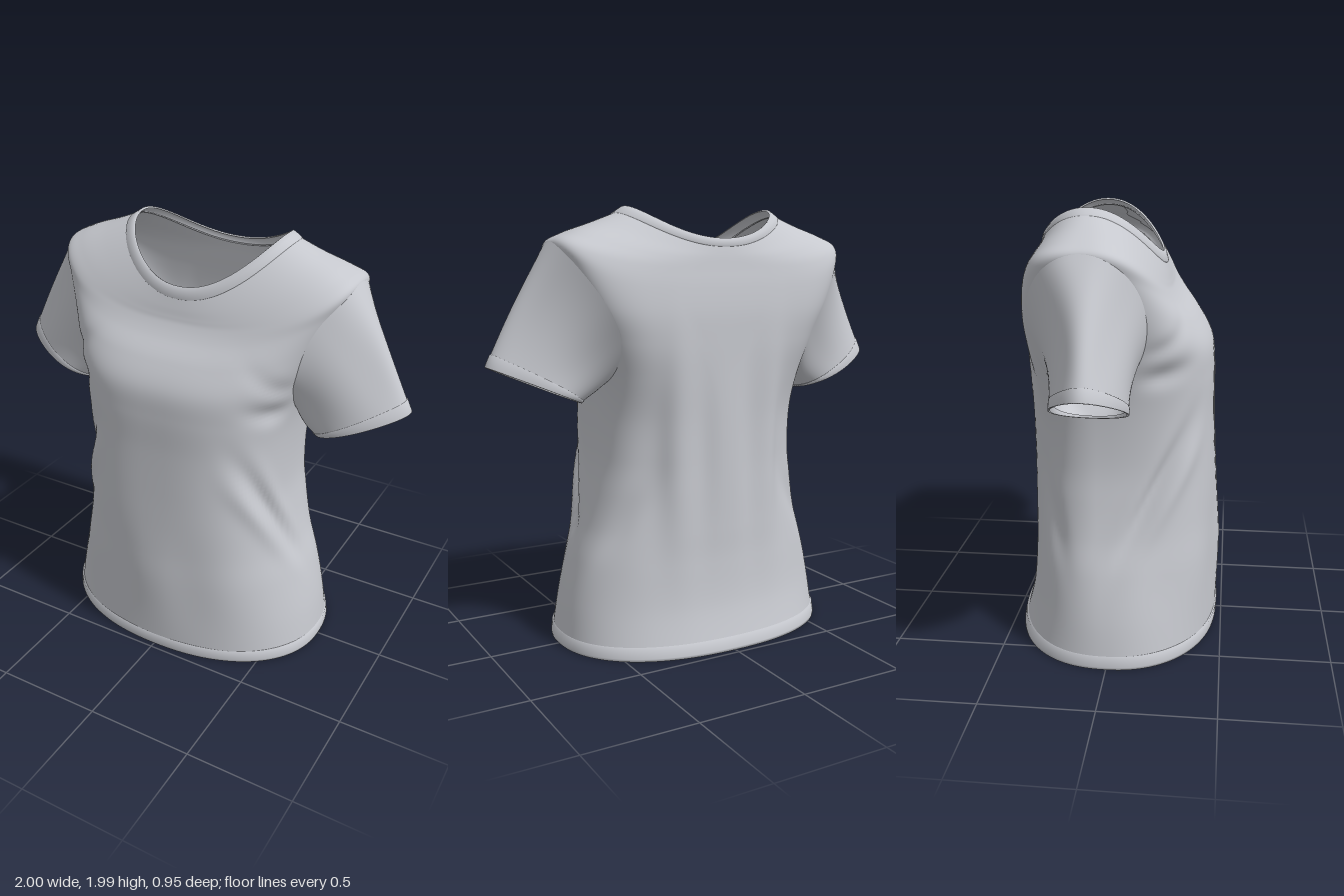
import * as THREE from 'three';

const fabric = new THREE.MeshStandardMaterial({ color: 0xc6c8ce, side: THREE.DoubleSide });
fabric.name = 'light grey fabric';

const SEG = 128;
const { lerp, smoothstep } = THREE.MathUtils;
const bump = (v, mid, width) => Math.exp(-(((v - mid) / width) ** 2));

// Smooth surface from closed rings: point(row, col) gives [x, y, z]
function loft(rows, cols, point, flip = false) {
  const pos = [], index = [];
  for (let i = 0; i < rows; i++)
    for (let j = 0; j < cols; j++) pos.push(...point(i, j));
  for (let i = 0; i < rows - 1; i++)
    for (let j = 0; j < cols; j++) {
      const k = (j + 1) % cols;
      const a = i * cols + j, b = a + cols, c = i * cols + k, d = c + cols;
      if (flip) index.push(a, c, b, c, d, b);
      else index.push(a, b, c, c, b, d);
    }
  const g = new THREE.BufferGeometry();
  g.setAttribute('position', new THREE.Float32BufferAttribute(pos, 3));
  g.setIndex(index);
  g.computeVertexNormals();
  return g;
}

// Ring: front/side/back height, half width, front z, back z, z of widest point, front/back squareness
function ringPoint([yF, yS, yB, w, f, b, zc, nF, nB], angle) {
  const c = Math.cos(angle), s = Math.sin(angle);
  const n = s > 0 ? nF : nB, end = s > 0 ? yF : yB;
  const x = w * Math.sign(c) * Math.abs(c) ** (2 / n);
  const z = zc + (s > 0 ? f - zc : b - zc) * Math.abs(s) ** (2 / n);
  return [x, end + (yS - end) * c * c, z];
}

// Catmull-Rom blend between the rings of a table
function ringAt(table, v) {
  const t = v * (table.length - 1), i = Math.min(Math.floor(t), table.length - 2), u = t - i;
  const at = (k) => table[Math.max(0, Math.min(table.length - 1, k))];
  return at(i).map((p1, k) => {
    const p0 = at(i - 1)[k], p2 = at(i + 1)[k], p3 = at(i + 2)[k];
    return p1 + 0.5 * u * (p2 - p0 + u * (2 * p0 - 5 * p1 + 4 * p2 - p3 + u * (3 * (p1 - p2) + p3 - p0)));
  });
}

// Soft folds of the cloth, as an outward distance
function fold(x, y, z) {
  const ax = Math.abs(x);
  // Back: upright pleats and a hollow beside the waist
  const pleats = 0.015 * Math.cos(ax * 27) * bump(y, 0.95, 0.45) * bump(ax, 0.22, 0.2);
  const hollow = -0.022 * bump(z, -0.21 - (y - 0.45) * 0.33, 0.05) * bump(y, 0.7, 0.22) * bump(ax, 0.5, 0.15);
  // Front: drapes running from the bust down to the side of the waist
  const q = z - 0.06 - (y - 0.5) * 0.5;
  const drape = (bump(q, 0.08, 0.045) - 1.4 * bump(q, 0, 0.04) + 0.6 * bump(q, -0.07, 0.04))
    * 0.018 * bump(y, 0.8, 0.26) * smoothstep(ax, 0.25, 0.42);
  const pinch = -0.024 * bump(ax, 0.5, 0.08) * bump(y, 1.29 + (0.5 - ax) * 0.4, 0.05);
  const crease = -0.012 * bump(ax, 0.52, 0.12) * bump(y, 1.43 + (0.5 - ax) * 0.8, 0.045);
  const hang = 0.007 * Math.cos(ax * 16) * bump(y, 0.4, 0.25);
  return (pleats + hollow) * smoothstep(-z, 0.06, 0.2) + drape * smoothstep(z, -0.1, 0.05)
    + (pinch + crease + hang) * smoothstep(z, 0.08, 0.25);
}

const bodyRings = [
  [0, 0, 0, 0.672, 0.47, -0.47, 0, 2.2, 2.3],
  [0.2, 0.2, 0.2, 0.645, 0.472, -0.42, -0.02, 2.2, 2.25],
  [0.4, 0.4, 0.4, 0.6, 0.473, -0.402, -0.04, 2.3, 2.2],
  [0.56, 0.56, 0.56, 0.55, 0.466, -0.4, -0.05, 2.5, 2.15],
  [0.72, 0.72, 0.72, 0.516, 0.458, -0.4, -0.06, 2.75, 2.1],
  [0.88, 0.88, 0.88, 0.495, 0.45, -0.4, -0.06, 2.9, 2.1],
  [1.08, 1.08, 1.08, 0.497, 0.442, -0.4, -0.06, 2.9, 2.25],
  [1.25, 1.25, 1.25, 0.517, 0.44, -0.4, -0.07, 2.9, 2.8],
  [1.38, 1.42, 1.4, 0.565, 0.425, -0.4, -0.08, 2.8, 3.7],
  [1.49, 1.58, 1.53, 0.628, 0.36, -0.397, -0.08, 2.65, 4.6],
  [1.57, 1.74, 1.64, 0.69, 0.285, -0.387, -0.08, 2.6, 4.4],
  [1.62, 1.83, 1.72, 0.715, 0.248, -0.375, -0.08, 2.6, 3.6],
  [1.65, 1.875, 1.765, 0.645, 0.235, -0.368, -0.09, 2.5, 2.8],
  [1.685, 1.92, 1.795, 0.52, 0.224, -0.362, -0.1, 2.3, 2.3],
  [1.725, 1.962, 1.82, 0.41, 0.21, -0.356, -0.11, 2.1, 2.1],
];

// Armhole outline on the side of the body
const hole = { y: 1.52, z: -0.09, ry: 0.315, rz: 0.255 };

function makeBody() {
  const rows = 120;
  return loft(rows, SEG, (i, j) => {
    const r = ringAt(bodyRings, i / (rows - 1));
    const [x, y, z] = ringPoint(r, (j / SEG) * Math.PI * 2);
    const d = fold(x, y, z), len = Math.hypot(x, z - r[6]);
    return [x + (x / len) * d, y, z + ((z - r[6]) / len) * d];
  });
}

// Points where the armhole outline meets the body
function armholeRing(body, count) {
  const mesh = new THREE.Mesh(body, fabric), ray = new THREE.Raycaster();
  const ring = [];
  for (let j = 0; j < count; j++) {
    const a = (j / count) * Math.PI * 2;
    const y = hole.y + hole.ry * Math.cos(a), z = hole.z + hole.rz * Math.sin(a);
    ray.set(new THREE.Vector3(2, y, z), new THREE.Vector3(-1, 0, 0));
    const hit = ray.intersectObject(mesh)[0];
    ring.push(new THREE.Vector3(hit && hit.point.x > 0.3 ? hit.point.x : 0.6, y, z));
  }
  return ring;
}

// Open the armholes: drop the faces inside the outline and pull the rim onto it
function cutArmholes(g, ring) {
  const p = g.attributes.position, old = g.index.array, keep = [];
  const inside = Array.from({ length: p.count }, (_, k) => Math.abs(p.getX(k)) > 0.4 &&
    ((p.getY(k) - hole.y) / hole.ry) ** 2 + ((p.getZ(k) - hole.z) / hole.rz) ** 2 < 1);
  for (let i = 0; i < old.length; i += 3) {
    const tri = [old[i], old[i + 1], old[i + 2]];
    if (!tri.every((k) => inside[k])) keep.push(...tri);
  }
  inside.forEach((isIn, k) => {
    if (!isIn) return;
    const a = Math.atan2((p.getZ(k) - hole.z) / hole.rz, (p.getY(k) - hole.y) / hole.ry);
    const q = ring[(Math.round((a / (Math.PI * 2)) * ring.length) + ring.length) % ring.length];
    p.setXYZ(k, Math.sign(p.getX(k)) * q.x, q.y, q.z);
  });
  g.setIndex(keep);
}

// Sleeve piece: steps are [distance along the sleeve, scale about its axis]
function sleevePiece(base, steps, side) {
  const n = base.length, start = new THREE.Vector3();
  base.forEach((p) => start.addScaledVector(p, 1 / n));
  const end = new THREE.Vector3(0.79, 1.22, -0.055);
  return loft(steps.length, n, (i, j) => {
    const [t, s] = steps[i], a = (j / n) * Math.PI * 2, c = Math.cos(a);
    // Opening narrows towards the top edge
    const cuff = new THREE.Vector3(end.x + 0.208 * c, end.y + 0.088 * c, end.z + 0.157 * Math.sin(a) * (1 - 0.28 * c));
    // Front and back draw in soon after the armhole
    const tz = 1 - (1 - t) ** 2.4;
    const axis = start.clone().lerp(end, t);
    axis.z = lerp(start.z, end.z, tz);
    const wave = 1 + 0.04 * Math.sin(Math.PI * t) * (Math.cos(5 * a) * 0.8 + 0.3);
    const p = base[j].clone().lerp(cuff, t);
    p.z = lerp(base[j].z, cuff.z, tz);
    p.sub(axis).multiplyScalar(s * wave).add(axis);
    return [side * p.x, p.y, p.z];
  }, side > 0);
}

export function createModel() {
  const shirt = new THREE.Group();
  shirt.name = 'shirt';
  const add = (name, geometry) => {
    const mesh = new THREE.Mesh(geometry, fabric);
    mesh.name = name;
    shirt.add(mesh);
  };

  // Body with open armholes
  const body = makeBody();
  const base = armholeRing(body, 80);
  cutArmholes(body, base);
  add('body', body);

  // Folded bands made from a few rings each
  const band = (name, rings) =>
    add(name, loft(rings.length, SEG, (i, j) => ringPoint(rings[i], (j / SEG) * Math.PI * 2)));
  band('bottomHem', [
    [0.06, 0.06, 0.06, 0.65, 0.457, -0.44, 0, 2.2, 2.3],
    [0.002, 0.002, 0.002, 0.66, 0.46, -0.458, 0, 2.2, 2.3],
    [0, 0, 0, 0.674, 0.473, -0.473, 0, 2.2, 2.3],
    [0.012, 0.012, 0.012, 0.676, 0.475, -0.472, 0, 2.2, 2.3],
    [0.058, 0.058, 0.058, 0.671, 0.477, -0.463, 0, 2.2, 2.3],
    [0.064, 0.064, 0.064, 0.65, 0.455, -0.44, 0, 2.2, 2.3],
  ]);
  band('collar', [
    [1.722, 1.957, 1.812, 0.414, 0.206, -0.354, -0.11, 2.1, 2.1],
    [1.728, 1.966, 1.821, 0.411, 0.214, -0.361, -0.11, 2.1, 2.1],
    [1.757, 1.98, 1.841, 0.389, 0.206, -0.357, -0.11, 2.1, 2.1],
    [1.779, 1.992, 1.853, 0.37, 0.196, -0.349, -0.11, 2.1, 2.1],
    [1.774, 1.985, 1.848, 0.361, 0.188, -0.341, -0.11, 2.1, 2.1],
  ]);

  // Sleeves and their turned cuffs
  const steps = Array.from({ length: 26 }, (_, i) => [(i / 25) * 0.97, 1]);
  const cuffSteps = [[0.895, 0.99], [0.9, 1.018], [0.95, 1.018], [0.995, 1.015], [1, 0.995], [0.995, 0.95], [0.9, 0.95]];
  for (const [side, label] of [[1, 'left'], [-1, 'right']]) {
    add(label + 'Sleeve', sleevePiece(base, steps, side));
    add(label + 'Cuff', sleevePiece(base, cuffSteps, side));
  }
  return shirt;
}
